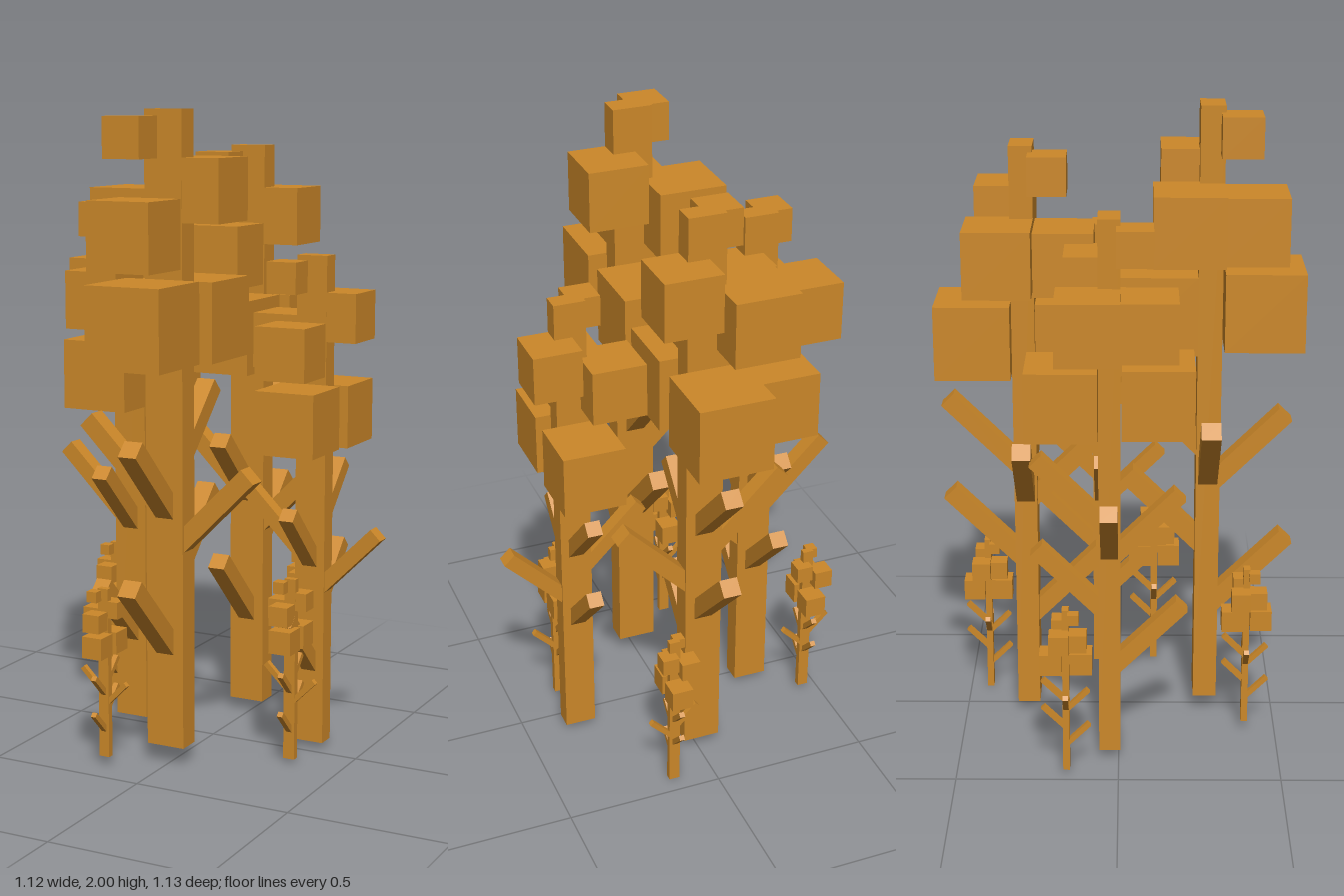
import * as THREE from 'three';

const TRUNK_HEIGHT = 1.94;

// Leaf cubes of a full-size tree: size, then centre x, y, z above the trunk foot
const LEAVES = [
  [0.245, 0, 1.32, 0.165],
  [0.245, 0, 1.31, -0.162],
  [0.215, -0.142, 1.6, -0.07],
  [0.207, -0.045, 1.577, 0.127],
  [0.19, 0.088, 1.705, -0.058],
  [0.123, -0.08, 1.858, 0.085],
];

// Branches: compass angle about the trunk (0 = +z), sideways reach, tip height
const BRANCHES = [
  [0, 0.252, 0.55],
  [0, 0.242, 0.965],
  [Math.PI / 2, 0.273, 0.87],
  [-Math.PI / 2, 0.277, 1.0],
  [Math.PI, 0.255, 0.762],
  [Math.PI, 0.255, 1.09],
];

// Trees: x, foot y, z, scale
const TREES = [
  ['frontTree', -0.003, 0.06, 0.278, 1],
  ['backTree', -0.01, 0.04, -0.295, 0.949],
  ['rightTree', -0.3, 0.02, -0.028, 0.88],
  ['leftTree', 0.322, 0.02, -0.06, 0.794],
  ['rightSapling', -0.45, 0.015, -0.16, 0.279],
  ['frontSapling', -0.165, 0.03, 0.402, 0.275],
  ['backSapling', 0.13, 0, -0.435, 0.276],
  ['leftSapling', 0.328, 0.012, 0.115, 0.296],
];

export function createModel() {
  const material = new THREE.MeshStandardMaterial({ color: 0xcc8829, flatShading: true });

  const box = (name, w, h, d, x, y, z, parent) => {
    const mesh = new THREE.Mesh(new THREE.BoxGeometry(w, h, d), material);
    mesh.name = name;
    mesh.position.set(x, y, z);
    parent.add(mesh);
    return mesh;
  };

  const makeTree = () => {
    const tree = new THREE.Group();
    box('trunk', 0.125, TRUNK_HEIGHT, 0.075, 0, TRUNK_HEIGHT / 2, 0, tree);

    // Square beams rising at 45 degrees from the middle of the trunk
    for (const [angle, reach, tipY] of BRANCHES) {
      const pivot = new THREE.Group();
      pivot.name = 'branchPivot';
      pivot.rotation.y = angle;
      const beam = box('branch', 0.06, reach * Math.SQRT2, 0.058, 0, tipY - reach / 2, reach / 2, pivot);
      beam.rotation.x = Math.PI / 4;
      tree.add(pivot);
    }

    for (const [size, x, y, z] of LEAVES) box('leafCube', size, size, size, x, y, z, tree);
    return tree;
  };

  const grove = new THREE.Group();
  grove.name = 'grove';
  for (const [name, x, y, z, scale] of TREES) {
    const tree = makeTree();
    tree.name = name;
    tree.position.set(x, y, z);
    tree.scale.setScalar(scale);
    grove.add(tree);
  }
  return grove;
}
